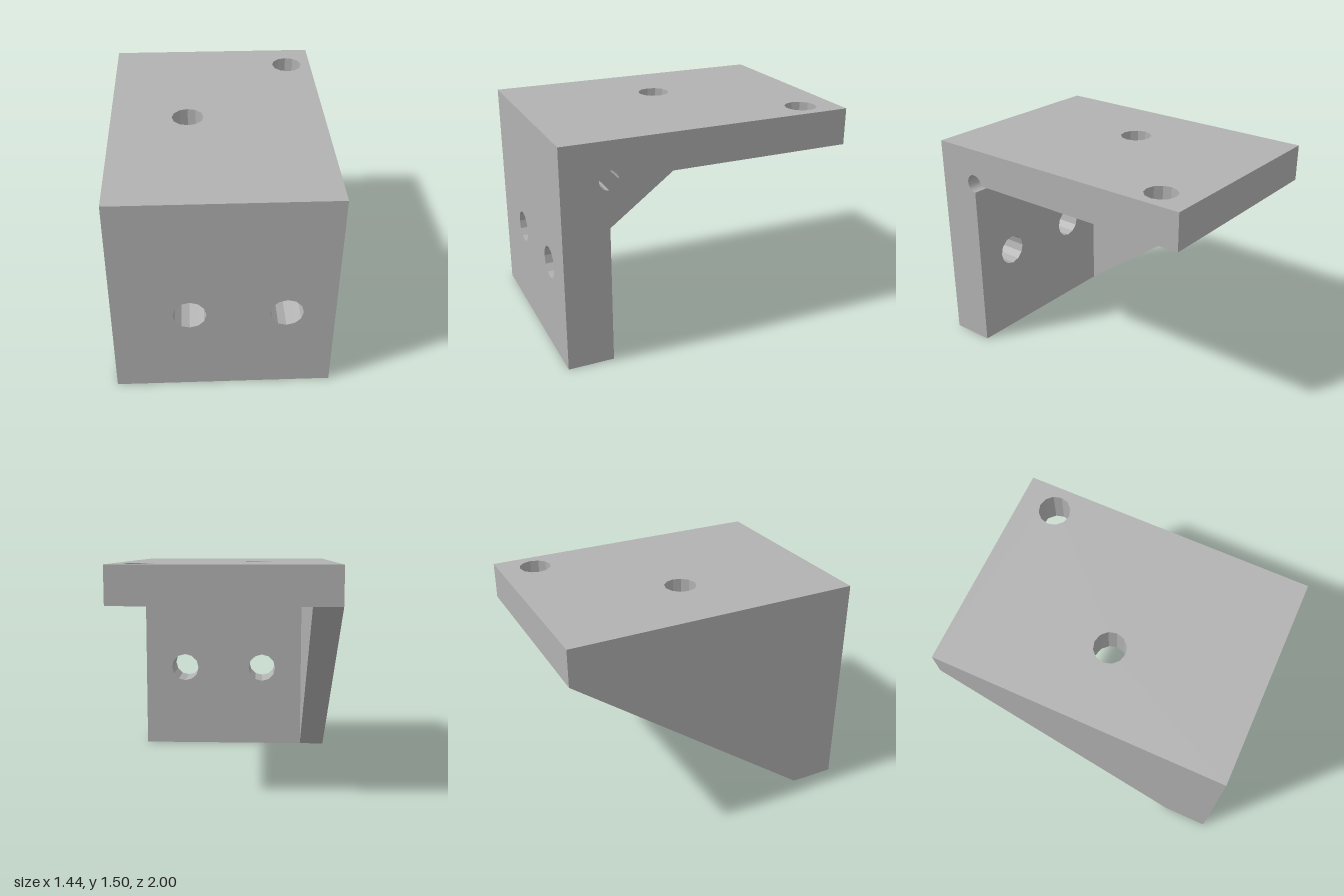
import * as THREE from 'three';

const X = new THREE.Vector3(1, 0, 0);
const Y = new THREE.Vector3(0, 1, 0);
const Z = new THREE.Vector3(0, 0, 1);

// Main dimensions
const W = 0.72, H = 1.5;              // half width, height
const ZI = 0.69, YI = 1.25;           // inner faces of upright and top plate
const G = -0.535;                     // inner face of the gusset
const R = 0.064, HOLE = 0.108;        // corner relief and bolt hole radii
const frontHoles = [[-0.22, 0.626], [0.405, 0.626]]; // x, y
const topHoles = [[-0.202, 0], [0.547, -0.753]];     // x, z

const rect = (u0, u1, v0, v1) => [[u0, v0], [u1, v0], [u1, v1], [u0, v1]];

function circle([cu, cv]) {
  return Array.from({ length: 12 }, (_, i) => {
    const a = i * Math.PI / 6;
    return new THREE.Vector2(cu + HOLE * Math.cos(a), cv + HOLE * Math.sin(a));
  });
}

function reverse(geo) {
  const idx = geo.index;
  for (let i = 0; i < idx.count; i += 3) {
    const a = idx.getX(i);
    idx.setX(i, idx.getX(i + 2));
    idx.setX(i + 2, a);
  }
  geo.computeVertexNormals();
  return geo;
}

export function createModel() {
  const group = new THREE.Group();
  group.name = 'gussetedAngleBracket';
  const steel = new THREE.MeshStandardMaterial({ color: 0xb2b2b2, flatShading: true, side: THREE.DoubleSide });
  steel.name = 'grey steel';

  const add = (name, geo) => {
    const mesh = new THREE.Mesh(geo, steel);
    mesh.name = name;
    group.add(mesh);
    return mesh;
  };

  // Flat face in the plane of axes U, V at offset d along the third axis
  function face(name, U, V, d, outline, { holes = [], flip = false } = {}) {
    const shape = new THREE.Shape(outline.map(p => new THREE.Vector2(p[0], p[1])));
    for (const h of holes) shape.holes.push(new THREE.Path(circle(h)));
    const geo = new THREE.ShapeGeometry(shape);
    const N = new THREE.Vector3().crossVectors(U, V);
    const sign = N.x + N.y + N.z;
    geo.applyMatrix4(new THREE.Matrix4().makeBasis(U, V, N).setPosition(N.clone().multiplyScalar(d * sign)));
    add(name, flip ? reverse(geo) : geo);
  }

  // Three-quarter relief arc, from the top plate round to the upright (z, y)
  const N_ARC = 24;
  const arc = Array.from({ length: N_ARC + 1 }, (_, i) => {
    const a = Math.PI - i / N_ARC * Math.PI * 1.5;
    return [ZI + R * Math.cos(a), YI + R * Math.sin(a)];
  });

  // Upright plate
  face('frontFace', X, Y, 1, rect(-W, W, 0, H), { holes: frontHoles });
  face('uprightInnerFace', X, Y, ZI, rect(G, W, 0, YI - R), { holes: frontHoles, flip: true });
  face('uprightFoot', X, Z, 0, rect(-W, W, ZI, 1));

  // Top plate
  face('topFace', X, Z, H, rect(-W, W, -1, 1), { holes: topHoles, flip: true });
  face('topPlateUnderside', X, Z, YI, rect(G, W, -1, ZI - R), { holes: topHoles });
  face('topPlateBackEdge', X, Y, -1, rect(-W, W, YI, H), { flip: true });

  // Open side, gusset sides and gusset sloping edge
  face('openSideFace', Z, Y, W, [[1, 0], [1, H], [-1, H], [-1, YI], ...arc, [ZI, 0]], { flip: true });
  face('gussetOuterFace', Z, Y, -W, [[1, 0], [1, H], [-1, H], [-1, YI], [ZI, 0]]);
  face('gussetInnerFace', Z, Y, G, [[ZI, 0], [-1, YI], ...arc], { flip: true });

  const strip = (name, path) => {
    const pos = path.flatMap(([z, y]) => [G, y, z, W, y, z]);
    const index = [];
    for (let i = 0; i < path.length - 1; i++) {
      const a = 2 * i;
      index.push(a, a + 1, a + 2, a + 1, a + 3, a + 2);
    }
    const geo = new THREE.BufferGeometry();
    geo.setAttribute('position', new THREE.Float32BufferAttribute(pos, 3));
    geo.setIndex(index);
    geo.computeVertexNormals();
    return add(name, geo);
  };
  strip('cornerRelief', arc);
  const slope = strip('gussetSlopingEdge', [[-1, YI], [ZI, 0]]);
  const sp = slope.geometry.attributes.position;
  for (let i = 0; i < sp.count; i++) sp.setX(i, i % 2 ? G : -W);

  // Bolt hole walls, facing inwards
  const bore = (name, length) =>
    add(name, reverse(new THREE.CylinderGeometry(HOLE, HOLE, length, 12, 1, true)));
  for (const [x, y] of frontHoles) {
    const b = bore('frontBoltHole', 1 - ZI);
    b.rotation.x = Math.PI / 2;
    b.position.set(x, y, (1 + ZI) / 2);
  }
  for (const [x, z] of topHoles) bore('topBoltHole', H - YI).position.set(x, (H + YI) / 2, z);

  return group;
}
